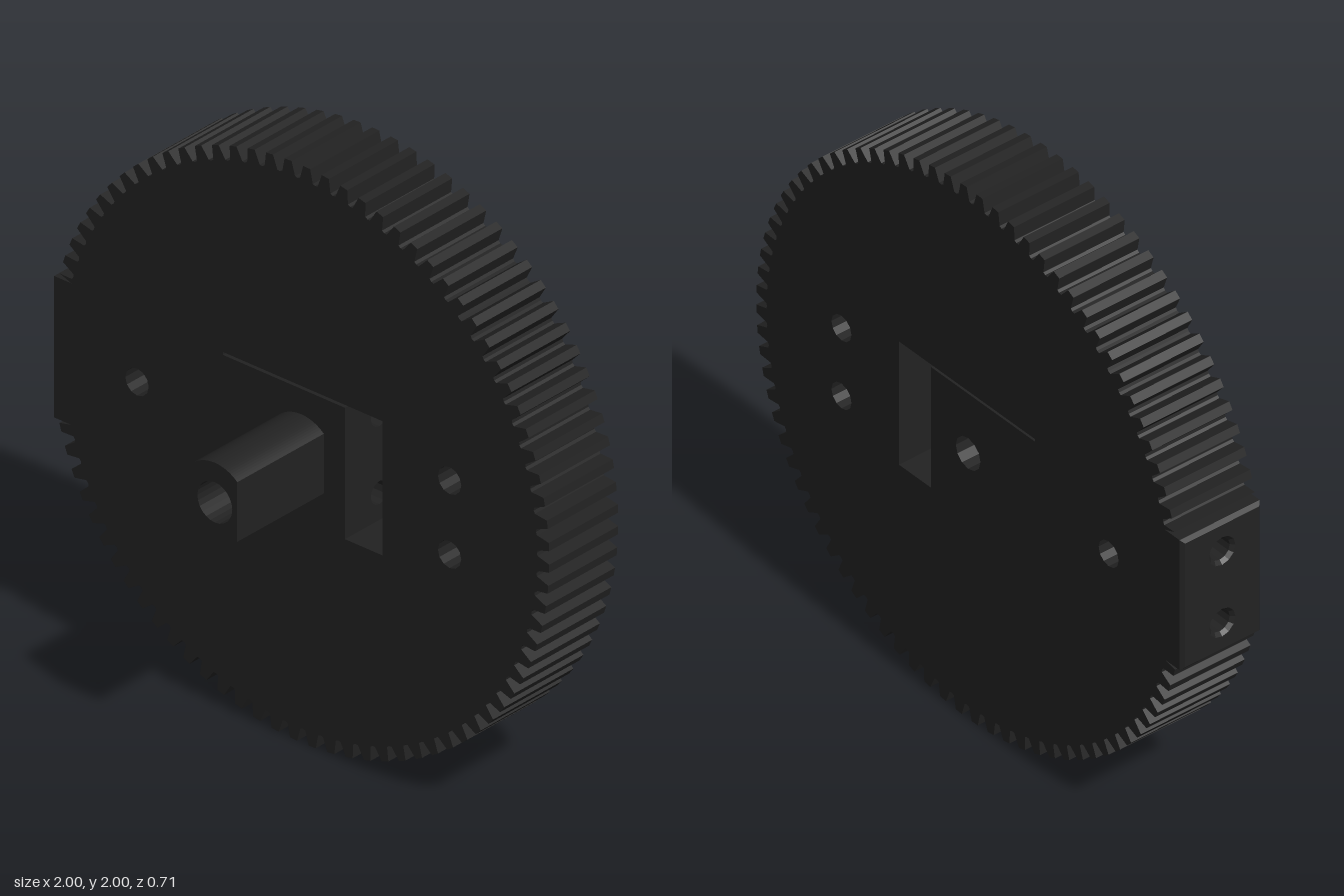
import * as THREE from 'three';

const BACK = -0.355, FACE = -0.04, THICK = FACE - BACK, MIDZ = (FACE + BACK) / 2;
const CY = 1.0, BLOCK_H = 0.245, NOTCH_X = -0.8;
const material = new THREE.MeshStandardMaterial({ color: 0x222222, flatShading: true, side: THREE.DoubleSide });

function add(parent, name, geometry) {
  const mesh = new THREE.Mesh(geometry, material);
  mesh.name = name;
  parent.add(mesh);
  return mesh;
}

function circle(x, y, r) {
  return new THREE.Path().absarc(x, y, r, 0, Math.PI * 2, true);
}

function rectangle(Type, x0, y0, x1, y1) {
  const points = [[x0, y0], [x1, y0], [x1, y1], [x0, y1]];
  return new Type(points.map(p => new THREE.Vector2(...p)));
}

function extrude(shape, depth, options = {}) {
  return new THREE.ExtrudeGeometry(shape, { depth, bevelEnabled: false, curveSegments: 6, ...options });
}

// Toothed outline, notched on the right side to receive the clamp block
function gearShape() {
  const teeth = 84, pitch = Math.PI * 2 / teeth, start = THREE.MathUtils.degToRad(88.5);
  const profile = [[-0.5, 0.95], [-0.36, 0.953], [-0.19, 1], [0.19, 1], [0.36, 0.953]];
  const points = [];
  for (let i = 0; i < teeth; i++) {
    for (const [offset, r] of profile) {
      const a = start + (i + offset) * pitch;
      points.push(new THREE.Vector2(r * Math.cos(a), CY + r * Math.sin(a)));
    }
  }
  const inNotch = p => p.x < 0 && Math.abs(p.y - CY) < BLOCK_H;
  const first = points.findIndex(inNotch);
  const kept = points.filter(p => !inNotch(p));
  const edgeX = -Math.sqrt(0.95 ** 2 - BLOCK_H ** 2);
  kept.splice(first, 0, ...[[edgeX, 1], [NOTCH_X, 1], [NOTCH_X, -1], [edgeX, -1]]
    .map(([x, s]) => new THREE.Vector2(x, CY + s * BLOCK_H)));
  return new THREE.Shape(kept);
}

// Plate running along x, pierced by the two bolt holes
function boltPlate(y0, y1, x0, x1, bevel) {
  const b = bevel;
  const shape = rectangle(THREE.Shape, -THICK / 2 + b, y0 + b, THICK / 2 - b, y1 - b);
  for (const s of [-1, 1]) shape.holes.push(circle(0, CY + s * 0.135, 0.04 + b));
  const geometry = extrude(shape, x1 - x0 - 2 * b, {
    bevelEnabled: b > 0, bevelSize: b, bevelThickness: b, bevelSegments: 1
  });
  geometry.rotateY(Math.PI / 2);
  geometry.translate(x0 + b, 0, MIDZ);
  return geometry;
}

export function createModel() {
  const model = new THREE.Group();
  model.name = 'gearWithClampedShaft';
  const cx = 0.005, boreR = 0.07;

  // Gear wheel with slot and three screw holes
  const wheel = gearShape();
  wheel.holes.push(rectangle(THREE.Path, -0.31, 0.77, 0.33, 1.235));
  for (const [x, y] of [[-0.655, 1.002], [0.6, 1.13], [0.6, 0.874]]) wheel.holes.push(circle(x, y, 0.047));
  add(model, 'gearWheel', extrude(wheel, THICK)).position.z = BACK;

  // Clamp block on the rim
  add(model, 'clampBlock', boltPlate(CY - BLOCK_H, CY + BLOCK_H, -1, NOTCH_X + 0.015, 0.012));

  // Slider in the slot: bored body and bolt plate
  const slider = new THREE.Group();
  slider.name = 'slider';
  model.add(slider);
  const body = rectangle(THREE.Shape, -0.31, 0.77, 0.08, 1.225);
  body.holes.push(circle(cx, CY, 0.058));
  add(slider, 'sliderBody', extrude(body, THICK)).position.z = BACK;
  add(slider, 'sliderBoltPlate', boltPlate(0.77, 1.225, 0.08, 0.18, 0));

  // Shaft with two flats and a bore
  const r = 0.137, half = 0.09, a = Math.acos(half / r);
  const section = new THREE.Shape();
  section.absarc(cx, CY, r, a, Math.PI - a, false);
  section.absarc(cx, CY, r, Math.PI + a, Math.PI * 2 - a, false);
  section.closePath();
  section.holes.push(circle(cx, CY, boreR));
  add(model, 'shaft', extrude(section, 0.355 - FACE, { curveSegments: 12 })).position.z = FACE;

  // Solid core closing the bore between both ends
  const core = add(model, 'boreFloor', new THREE.CylinderGeometry(boreR, boreR, 0.2, 24));
  core.rotation.x = Math.PI / 2;
  core.position.set(cx, CY, -0.04);
  return model;
}
